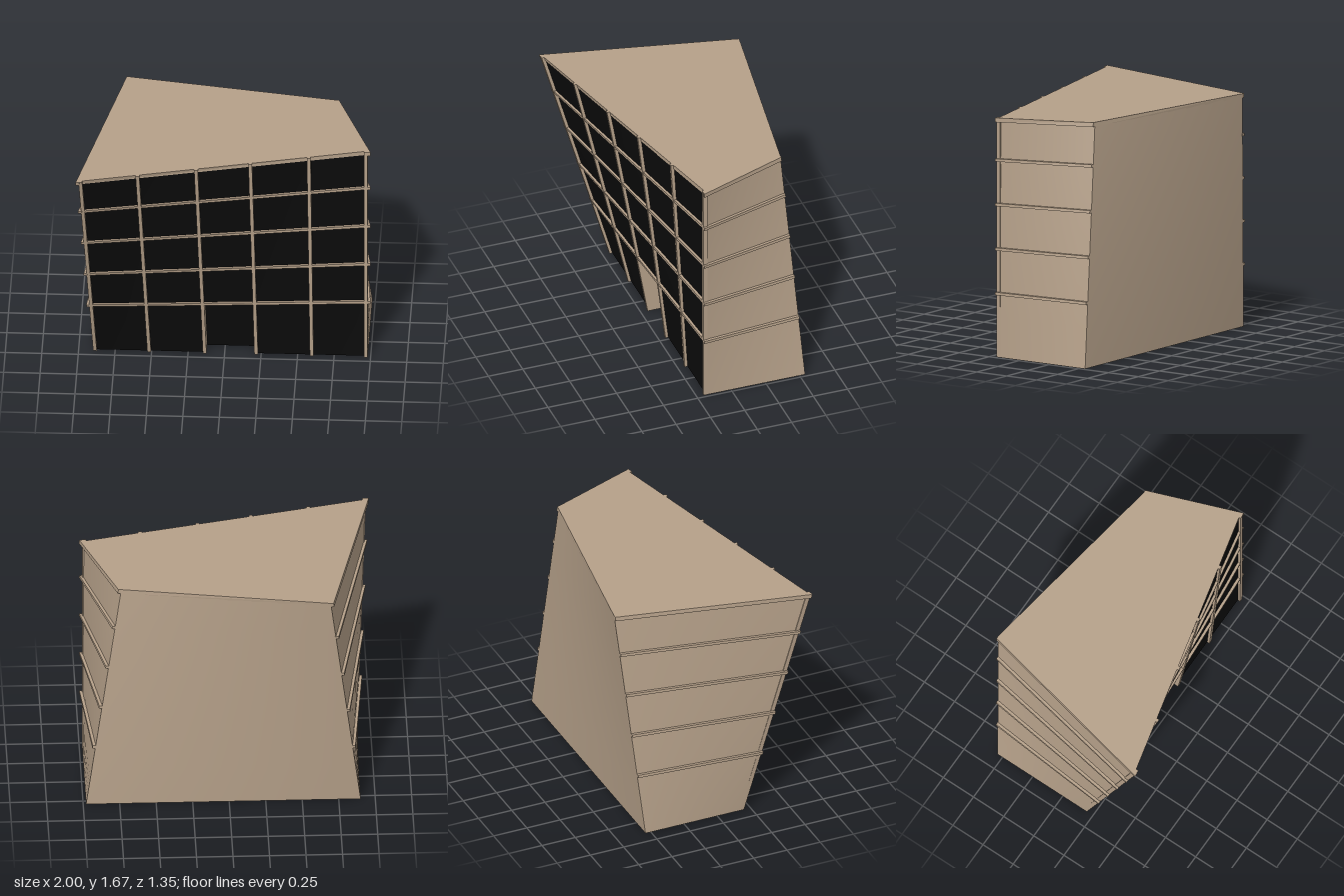
import * as THREE from 'three';

const H = 1.67;
const lerp = THREE.MathUtils.lerp;

// Footprint and roof outlines as [x, z]: front left, front right, back right, back left
const BASE = [[-0.9, 0.2], [0.98, 0.2], [0.98, -0.54], [-0.9, -0.54]];
const TOP = [[-0.98, 0.67], [0.98, 0.2], [0.735, -0.45], [-0.69, -0.68]];

// Corner i at height y
const corner = (i, y) => [0, 1].map(k => lerp(BASE[i][k], TOP[i][k], y / H));

// Point on the ruled wall from corner i to corner j
function wallPoint(i, j, u, y, dx = 0, dz = 0) {
  const a = corner(i, y), b = corner(j, y);
  return [lerp(a[0], b[0], u) + dx, y, lerp(a[1], b[1], u) + dz];
}

// Move the vertices of a unit box by f(u, v, w), each in 0..1, with flat faces
function warpBox(f) {
  const g = new THREE.BoxGeometry(1, 1, 1).toNonIndexed();
  const p = g.attributes.position;
  for (let i = 0; i < p.count; i++) p.setXYZ(i, ...f(p.getX(i) + 0.5, p.getY(i) + 0.5, p.getZ(i) + 0.5));
  g.computeVertexNormals();
  return g;
}

// Move the vertices of a unit plane by f(u, v), smooth
function warpPlane(f, nu = 8, nv = 6) {
  const g = new THREE.PlaneGeometry(1, 1, nu, nv);
  const p = g.attributes.position;
  for (let i = 0; i < p.count; i++) p.setXYZ(i, ...f(p.getX(i) + 0.5, p.getY(i) + 0.5));
  g.computeVertexNormals();
  return g;
}

export function createModel() {
  const group = new THREE.Group();
  const stone = new THREE.MeshStandardMaterial({ color: 0xb5a089, side: THREE.DoubleSide });
  stone.name = 'tan stone';
  const glass = new THREE.MeshStandardMaterial({ color: 0x0b0b0b, side: THREE.DoubleSide });
  glass.name = 'black glass';

  const add = (name, geometry, material = stone) => {
    const m = new THREE.Mesh(geometry, material);
    m.name = name;
    group.add(m);
  };

  // Twisted walls, open at the bottom
  [['rightWall', 1, 2], ['backWall', 2, 3], ['leftWall', 3, 0]].forEach(([name, i, j]) =>
    add(name, warpPlane((u, v) => wallPoint(i, j, u, v * H))));

  // Roof slab, its front edge just behind the mullion fronts
  add('roof', warpBox((u, v, w) => {
    const y = lerp(1.64, H, v);
    return w > 0.5 ? wallPoint(0, 1, u, y, 0, -0.016) : wallPoint(3, 2, u, y);
  }));

  // Floor bands on the front and both sides; the top one trims the roof
  const floors = [0.445, 0.755, 1.065, 1.375];
  const bands = floors.map(y => [y - 0.01, y + 0.01]);
  bands.forEach(([y0, y1]) =>
    add('frontBand', warpBox((u, v, w) => wallPoint(0, 1, u, lerp(y0, y1, v), 0, lerp(-0.03, -0.002, w)))));
  [...bands, [1.64, H]].forEach(([y0, y1]) => {
    add('rightBand', warpBox((u, v, w) => wallPoint(2, 1, w, lerp(y0, y1, v), lerp(-0.005, 0.02, u))));
    add('leftBand', warpBox((u, v, w) => wallPoint(3, 0, w, lerp(y0, y1, v), lerp(-0.02, 0.005, u))));
  });

  // Mullions lean with the facade; the middle bay is narrower
  const stops = [0, 0.2, 0.405, 0.595, 0.8, 1];
  const half = 0.0125;
  const bayPoint = (u, y, dx, dz) => {
    const a = corner(0, y), b = corner(1, y);
    const k = (half + u * (b[0] - a[0] - 2 * half)) / (b[0] - a[0]);
    return wallPoint(0, 1, k, y, dx, dz);
  };
  stops.forEach(s => add('mullion', warpBox((u, v, w) =>
    bayPoint(s, v * H, lerp(-half, half, u), lerp(-0.03, 0, w)))));

  // Glass bays, with a recessed entrance in the middle of the ground floor
  const door = floors[0], depth = -0.11;
  for (let b = 0; b < 5; b++) {
    const y0 = b === 2 ? door : 0;
    add('glassBay', warpPlane((u, v) =>
      bayPoint(lerp(stops[b], stops[b + 1], u), lerp(y0, 1.65, v), 0, -0.02), 2, 6), glass);
  }
  add('entranceGlass', warpPlane((u, v) =>
    bayPoint(lerp(stops[2], stops[3], u), v * door, 0, depth), 2, 2), glass);
  [2, 3].forEach(i => add('entranceJamb', warpBox((u, v, w) =>
    bayPoint(stops[i], v * door, lerp(-half, half, u), lerp(depth - 0.005, -0.02, w)))));
  add('entranceCeiling', warpBox((u, v, w) =>
    bayPoint(lerp(stops[2], stops[3], u), lerp(door - 0.01, door + 0.01, v), 0, lerp(depth - 0.005, -0.02, w))));

  return group;
}
